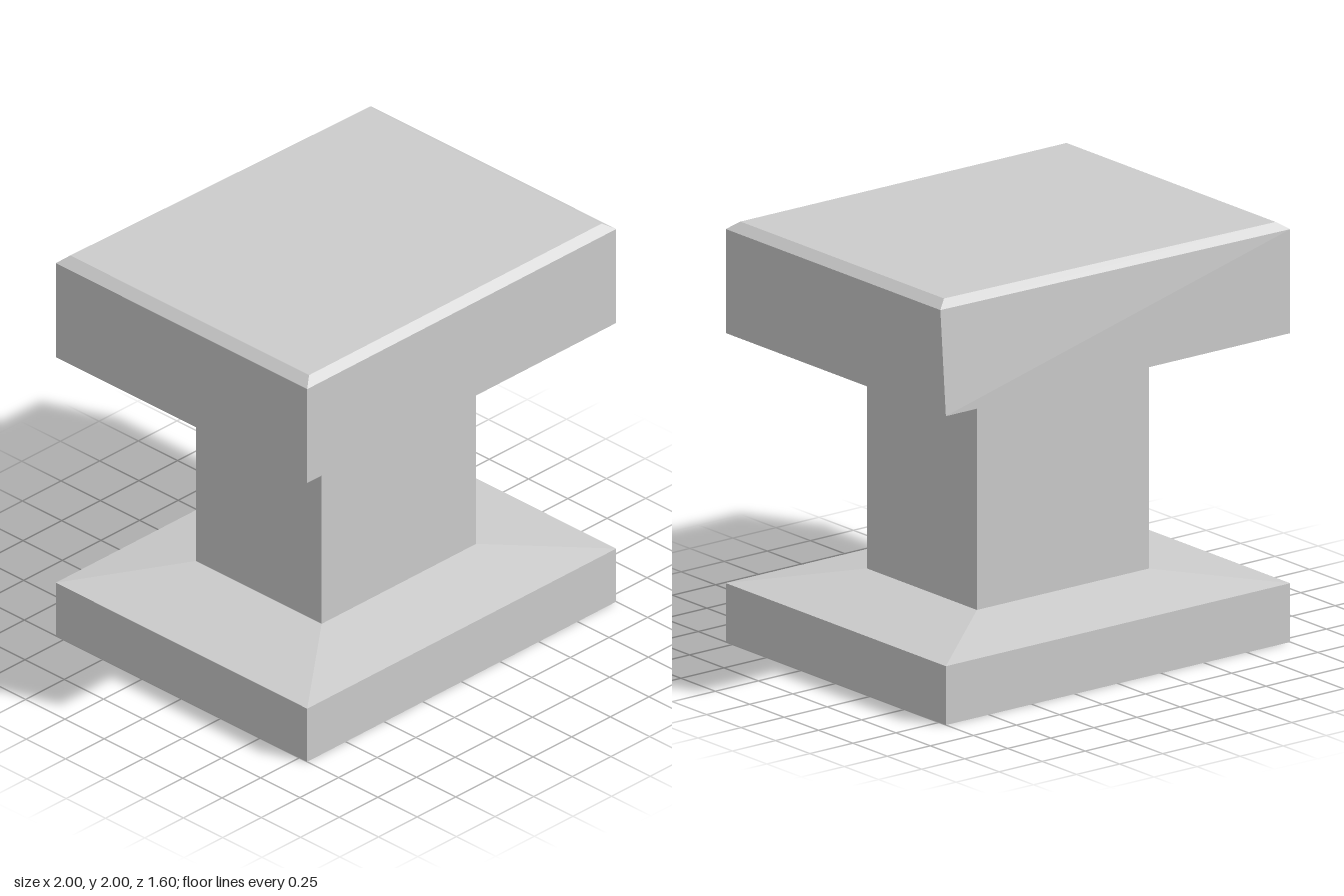
import * as THREE from 'three';

// Four corners of a level rectangle, counter-clockwise seen from above
function rect(y, w, d) {
  return [[-w, y, d], [w, y, d], [w, y, -d], [-w, y, -d]];
}

// Flat-faced skin through stacked four-cornered sections, bottom to top
function loft(name, sections, material, { bottom = false, top = false } = {}) {
  const points = [];
  const quad = (a, b, c, d) => points.push(...a, ...b, ...c, ...a, ...c, ...d);
  for (let i = 0; i < sections.length - 1; i++) {
    const low = sections[i], high = sections[i + 1];
    for (let k = 0; k < 4; k++) {
      const n = (k + 1) % 4;
      quad(low[k], low[n], high[n], high[k]);
    }
  }
  if (bottom) quad(...[...sections[0]].reverse());
  if (top) quad(...sections[sections.length - 1]);
  const geometry = new THREE.BufferGeometry();
  geometry.setAttribute('position', new THREE.Float32BufferAttribute(points, 3));
  geometry.computeVertexNormals();
  const mesh = new THREE.Mesh(geometry, material);
  mesh.name = name;
  return mesh;
}

export function createModel() {
  const group = new THREE.Group();
  group.name = 'pedestal';
  const stone = new THREE.MeshStandardMaterial({ color: 0xcccccc });
  stone.name = 'pale stone';

  // Base slab with a shallow slope up to the column
  group.add(loft('base', [rect(0, 1, 0.8), rect(0.28, 1, 0.8), rect(0.35, 0.5, 0.4)], stone, { bottom: true }));

  // Column
  group.add(loft('column', [rect(0.35, 0.5, 0.4), rect(1.335, 0.5, 0.4)], stone));

  // Capital: flared underside, bevelled top, one back corner pulled in
  const shoulder = rect(1.965, 1, 0.8);
  shoulder[2][2] = -0.76;
  const crown = rect(2, 0.947, 0.76);
  crown[2][2] = -0.72;
  group.add(loft('capital', [rect(1.335, 0.5, 0.4), rect(1.47, 1, 0.8), shoulder, crown], stone, { top: true }));

  return group;
}
